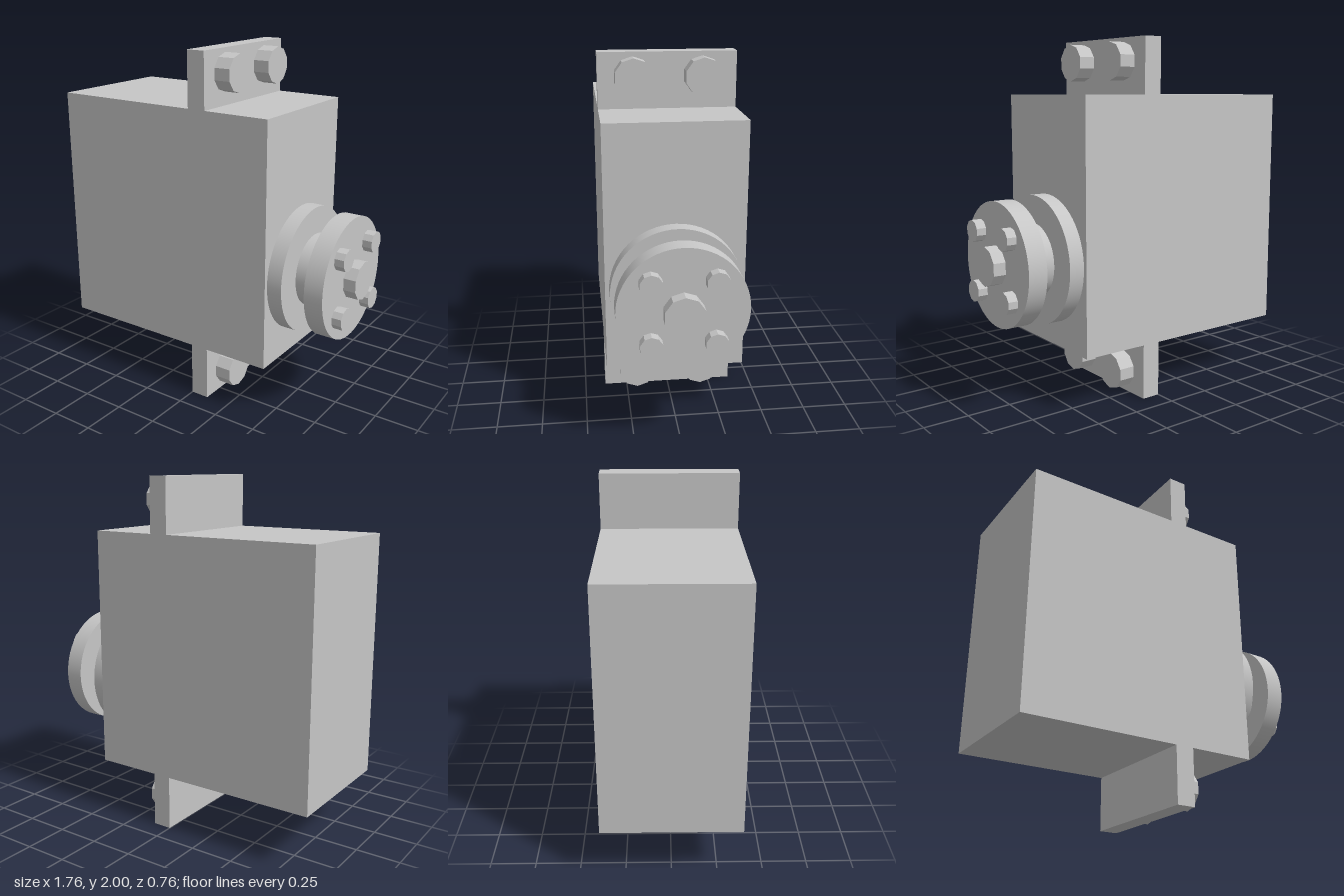
import * as THREE from 'three';

export function createModel() {
  const model = new THREE.Group();
  const grey = new THREE.MeshStandardMaterial({ color: 0xc6c6c6 });
  grey.name = 'grey plastic';

  const add = (name, geometry, parent = model) => {
    const mesh = new THREE.Mesh(geometry, grey);
    mesh.name = name;
    parent.add(mesh);
    return mesh;
  };

  // Cylinder lying along x, from x0 to x1
  const disc = (name, radius, x0, x1, y, z, sides, flat, parent) => {
    let g = new THREE.CylinderGeometry(radius, radius, x1 - x0, sides, 1, false, Math.PI / 2);
    g.rotateZ(-Math.PI / 2);
    if (flat) {
      g = g.toNonIndexed();
      g.computeVertexNormals();
    }
    add(name, g, parent).position.set((x0 + x1) / 2, y, z);
  };

  // Housing and its two mounting ears, one cross-shaped outline
  const left = -0.885, right = 0.49, low = 0.312, high = 1.694;
  const earBack = 0, earFront = 0.107, depth = 0.76;
  const outline = new THREE.Shape([
    [left, low], [earBack, low], [earBack, 0], [earFront, 0], [earFront, low], [right, low],
    [right, high], [earFront, high], [earFront, 2], [earBack, 2], [earBack, high], [left, high],
  ].map(([x, y]) => new THREE.Vector2(x, y)));
  const housing = new THREE.ExtrudeGeometry(outline, { depth, bevelEnabled: false });
  housing.translate(0, 0, -depth / 2);
  add('housingWithMountingEars', housing);

  // Ten-sided bolts on the ears
  for (const y of [0.132, 1.872])
    for (const z of [-0.19, 0.19])
      disc('mountingBolt', 0.104, earFront, 0.202, y, z, 10, true);

  // Output shaft with its collar and horn
  const output = new THREE.Group();
  output.name = 'outputShaft';
  model.add(output);
  const cy = 0.796;
  disc('collar', 0.358, right, 0.576, cy, 0, 64, false, output);
  disc('shaft', 0.205, 0.576, 0.703, cy, 0, 64, false, output);
  disc('horn', 0.343, 0.703, 0.81, cy, 0, 64, false, output);

  // Horn bolts
  disc('centreBolt', 0.108, 0.81, 0.88, cy, 0, 10, true, output);
  for (const sy of [-1, 1])
    for (const sz of [-1, 1])
      disc('hornBolt', 0.061, 0.81, 0.865, cy + sy * 0.167, sz * 0.167, 10, true, output);

  return model;
}
